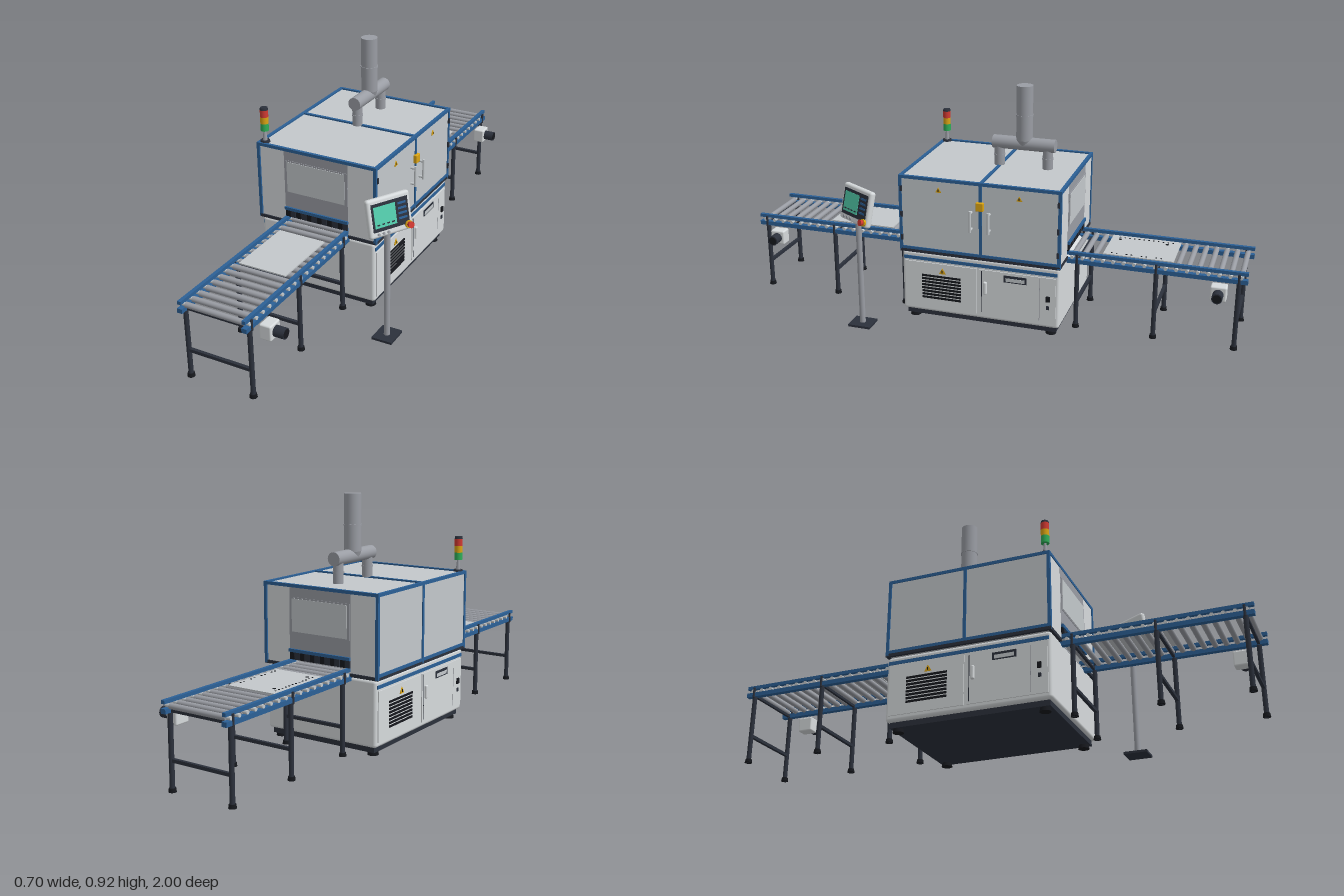
import * as THREE from 'three';
import { RoundedBoxGeometry } from 'three/addons/geometries/RoundedBoxGeometry.js';

const mat = (name, color, opts = {}) => {
  const m = new THREE.MeshStandardMaterial({ color, ...opts });
  m.name = name;
  return m;
};

export function createModel() {
  const white = mat('panelWhite', 0xd6dadc), sheet = mat('sheetMetal', 0xc3c8cb);
  const steel = mat('steelGrey', 0x9a9da4), blue = mat('frameBlue', 0x2c6096);
  const dark = mat('charcoal', 0x2c313c), black = mat('black', 0x16181d);
  const yellow = mat('safetyYellow', 0xdca514), red = mat('signalRed', 0xd23a32);
  const green = mat('signalGreen', 0x2fae58), teal = mat('screenTeal', 0x55cfae);

  const add = (parent, name, geo, m, x = 0, y = 0, z = 0) => {
    const mesh = new THREE.Mesh(geo, m);
    mesh.name = name;
    mesh.position.set(x, y, z);
    parent.add(mesh);
    return mesh;
  };
  // Box given by its min and max on each axis
  const box = (p, name, m, x0, x1, y0, y1, z0, z1) => add(p, name,
    new THREE.BoxGeometry(x1 - x0, y1 - y0, z1 - z0), m, (x0 + x1) / 2, (y0 + y1) / 2, (z0 + z1) / 2);
  const rbox = (p, name, m, x0, x1, y0, y1, z0, z1, r) => add(p, name,
    new RoundedBoxGeometry(x1 - x0, y1 - y0, z1 - z0, 3, r), m, (x0 + x1) / 2, (y0 + y1) / 2, (z0 + z1) / 2);
  // Cylinder along axis 'x', 'y' or 'z', centred at the given point
  const cyl = (p, name, m, rTop, rBottom, h, x, y, z, axis = 'y', seg = 24) => {
    const mesh = add(p, name, new THREE.CylinderGeometry(rTop, rBottom, h, seg), m, x, y, z);
    if (axis === 'x') mesh.rotation.z = -Math.PI / 2;
    if (axis === 'z') mesh.rotation.x = Math.PI / 2;
    return mesh;
  };
  const group = (parent, name) => {
    const g = new THREE.Group();
    g.name = name;
    parent.add(g);
    return g;
  };
  // Warning triangle plate facing +x
  const warning = (p, x, y, z, s) => {
    const t = cyl(p, 'warningTriangle', yellow, s, s, 0.004, x, y, z, 'x', 3);
    t.rotation.set(0, 0, -Math.PI / 2);
    t.rotation.order = 'XYZ';
    t.geometry.rotateY(Math.PI / 2 * 3);
    box(p, 'warningMark', black, x + 0.002, x + 0.003, y - s * 0.25, y + s * 0.45, z - s * 0.12, z + s * 0.12);
  };

  const root = new THREE.Group();
  root.name = 'conveyorMachine';
  const body = group(root, 'machine');
  body.position.x = -0.0875;

  // Lower base
  const base = group(body, 'base');
  rbox(base, 'baseCabinet', white, -0.242, 0.242, 0.035, 0.285, -0.318, 0.318, 0.012);
  box(base, 'plinth', dark, -0.227, 0.227, 0.014, 0.037, -0.305, 0.305);
  for (const x of [-0.207, 0.207]) for (const z of [-0.28, 0.28]) {
    cyl(base, 'baseFoot', black, 0.018, 0.021, 0.016, x, 0.008, z);
  }
  // Side service panels, the same on both sides by half a turn
  for (const a of [0, Math.PI]) {
    const s = group(base, 'servicePanels');
    s.rotation.y = a;
    box(s, 'blueStripe', blue, 0.24, 0.245, 0.253, 0.266, -0.31, 0.31);
    box(s, 'ventPanel', white, 0.24, 0.246, 0.055, 0.245, 0.01, 0.305);
    box(s, 'serviceDoor', white, 0.24, 0.246, 0.055, 0.245, -0.305, 0.0);
    box(s, 'doorSeam', dark, 0.24, 0.2465, 0.065, 0.24, -0.012, -0.009);
    box(s, 'doorSeam', steel, 0.24, 0.2465, 0.065, 0.24, -0.243, -0.241);
    for (let i = 0; i < 8; i++) {
      box(s, 'ventSlot', black, 0.24, 0.249, 0.095 + i * 0.0132, 0.103 + i * 0.0132, 0.075, 0.235);
    }
    warning(s, 0.247, 0.213, 0.15, 0.016);
    box(s, 'ratingPlate', dark, 0.24, 0.248, 0.206, 0.234, -0.19, -0.1);
    box(s, 'ratingPlateFace', sheet, 0.24, 0.249, 0.21, 0.224, -0.183, -0.107);
    rbox(s, 'doorHandle', white, 0.24, 0.255, 0.145, 0.197, -0.032, -0.018, 0.005);
    box(s, 'mainSwitch', black, 0.24, 0.252, 0.148, 0.17, -0.283, -0.268);
    box(s, 'switchPlate', dark, 0.24, 0.249, 0.115, 0.13, -0.281, -0.27);
  }

  // Upper housing with a tunnel for the conveyor
  const hood = group(body, 'housing');
  box(hood, 'hoodBody', sheet, -0.249, 0.249, 0.355, 0.592, -0.316, 0.316);
  for (const s of [-1, 1]) {
    const x0 = s < 0 ? -0.249 : 0.135;
    box(hood, 'hoodSide', sheet, x0, x0 + 0.114, 0.29, 0.356, -0.316, 0.316);
    // Frame tubes on this side
    for (const z of [-0.316, 0.316]) {
      box(hood, 'cornerPost', blue, s * 0.2465 - 0.006, s * 0.2465 + 0.006, 0.288, 0.597, z - 0.006, z + 0.006);
      const xa = s < 0 ? -0.25 : 0.135;
      box(hood, 'bottomRail', dark, xa, xa + 0.115, 0.286, 0.298, z - 0.006, z + 0.006);
    }
    for (const [y, m] of [[0.292, dark], [0.303, blue], [0.592, blue]]) {
      box(hood, 'sideRail', m, s * 0.2465 - 0.006, s * 0.2465 + 0.006, y - 0.006, y + 0.006, -0.322, 0.322);
    }
    box(hood, 'sideDivider', blue, s * 0.2465 - 0.006, s * 0.2465 + 0.006, 0.29, 0.597, -0.014, -0.002);
    box(hood, 'topRail', blue, -0.2525, 0.2525, 0.586, 0.598, s * 0.316 - 0.006, s * 0.316 + 0.006);
  }
  box(hood, 'roofDivider', blue, -0.2525, 0.2525, 0.586, 0.598, -0.014, -0.002);

  // Doors on the left side
  for (const s of [-1, 1]) {
    const z = -0.008 + s * 0.036;
    cyl(hood, 'doorHandle', sheet, 0.005, 0.005, 0.085, 0.268, 0.445, z, 'y', 12);
    for (const y of [0.412, 0.478]) cyl(hood, 'handleMount', sheet, 0.005, 0.005, 0.022, 0.258, y, z, 'x', 12);
    warning(hood, 0.2505, 0.549, s * 0.16, 0.013);
    for (const y of [0.345, 0.44, 0.545]) box(hood, 'hinge', dark, 0.248, 0.256, y - 0.011, y + 0.011, s * 0.312 - 0.004, s * 0.312 + 0.004);
  }
  rbox(hood, 'safetyLock', yellow, 0.248, 0.263, 0.488, 0.522, -0.022, 0.008, 0.003);

  // Entry and exit ends with their conveyors, mirrored by half a turn
  [['entry', 0], ['exit', Math.PI]].forEach(([name, a]) => {
    const e = group(body, name + 'End');
    e.rotation.y = a;
    for (const s of [-1, 1]) {
      const x0 = s < 0 ? -0.238 : 0.135;
      box(e, 'endPanel', white, x0, x0 + 0.103, 0.299, 0.586, 0.31, 0.319);
    }
    box(e, 'endSheet', steel, -0.135, 0.135, 0.355, 0.586, 0.31, 0.32);
    box(e, 'windowFrame', steel, -0.128, 0.133, 0.418, 0.55, 0.318, 0.322);
    box(e, 'window', sheet, -0.122, 0.122, 0.422, 0.545, 0.318, 0.324);
    box(e, 'curtainRail', blue, -0.135, 0.135, 0.345, 0.357, 0.314, 0.328);
    for (let i = 0; i < 12; i++) {
      const x = -0.123 + i * 0.0224;
      box(e, 'curtainStrip', i % 2 ? dark : black, x - 0.01, x + 0.01, 0.316, 0.346, 0.318, 0.323);
    }

    const c = group(e, name + 'Conveyor');
    for (const s of [-1, 1]) {
      const x = s * 0.1275;
      box(c, 'lowerRail', blue, x - 0.01, x + 0.01, 0.271, 0.288, 0.3, 1);
      box(c, 'guideRail', blue, x - 0.007, x + 0.007, 0.304, 0.317, 0.3, 1);
      for (const z of [0.358, 0.662, 0.968]) {
        cyl(c, 'leg', dark, 0.009, 0.009, 0.275, x, 0.1375, z, 'y', 16);
        cyl(c, 'legFoot', black, 0.012, 0.014, 0.014, x, 0.007, z, 'y', 16);
        cyl(c, 'guideBracket', dark, 0.005, 0.005, 0.042, x + s * 0.009, 0.288, z, 'y', 10);
      }
    }
    for (const z of [0.358, 0.662, 0.968]) {
      box(c, 'legCrossbar', dark, -0.1275, 0.1275, 0.103, 0.115, z - 0.006, z + 0.006);
      box(c, 'topCrossbar', dark, -0.1275, 0.1275, 0.272, 0.282, z - 0.005, z + 0.005);
    }
    for (let i = 0; i < 25; i++) {
      const z = 0.02 + i * 0.0398;
      cyl(c, 'roller', steel, 0.0105, 0.0105, 0.236, 0, 0.294, z, 'x', 14);
      cyl(c, 'rollerAxle', sheet, 0.007, 0.007, 0.274, 0, 0.295, z, 'x', 10);
    }
  });

  // Workpieces on the conveyors
  box(body, 'workSheet', sheet, -0.1, 0.092, 0.305, 0.31, 0.42, 0.69);
  const drilled = group(body, 'drilledSheet');
  box(drilled, 'sheet', sheet, -0.105, 0.095, 0.305, 0.31, -0.72, -0.45);
  for (let i = 0; i < 12; i++) for (const x of [-0.085, 0.08]) {
    if (x < 0 || i % 3) cyl(drilled, 'hole', black, 0.0035, 0.0035, 0.002, x, 0.3105, -0.69 + i * 0.019, 'y', 8);
  }
  for (const z of [-0.67, -0.485]) cyl(drilled, 'hole', black, 0.006, 0.006, 0.002, -0.065, 0.3105, z, 'y', 10);

  // Drive motors
  for (const z of [-0.9, 0.9]) {
    const m = group(body, 'driveMotor');
    rbox(m, 'gearbox', white, 0.137, 0.183, 0.211, 0.269, z - 0.03, z + 0.03, 0.006);
    cyl(m, 'motor', dark, 0.02, 0.02, 0.042, 0.202, 0.24, z, 'x');
    cyl(m, 'motorCap', black, 0.016, 0.016, 0.003, 0.2235, 0.24, z, 'x');
  }

  // Exhaust duct
  const duct = group(body, 'exhaustDuct');
  for (const z of [-0.005, -0.2]) {
    cyl(duct, 'riser', steel, 0.02, 0.02, 0.095, 0, 0.643, z);
    cyl(duct, 'riserCollar', steel, 0.022, 0.022, 0.006, 0, 0.637, z);
  }
  cyl(duct, 'crossPipe', steel, 0.026, 0.026, 0.25, 0, 0.688, -0.105, 'z');
  cyl(duct, 'stack', steel, 0.032, 0.032, 0.215, 0, 0.8125, -0.105);
  cyl(duct, 'stackTaper', steel, 0.032, 0.026, 0.02, 0, 0.696, -0.105);
  cyl(duct, 'stackCollar', steel, 0.034, 0.034, 0.006, 0, 0.803, -0.105);

  // Signal tower
  const tower = group(root, 'signalTower');
  [['towerBase', dark, 0.017, 0.019, 0.596, 0.604], ['towerStem', steel, 0.005, 0.009, 0.604, 0.642],
    ['greenLight', green, 0.0155, 0.0155, 0.642, 0.671], ['amberLight', yellow, 0.0155, 0.0155, 0.671, 0.697],
    ['redLight', red, 0.0155, 0.0155, 0.697, 0.725], ['towerCap', dark, 0.014, 0.016, 0.725, 0.734],
  ].forEach(([n, m, rt, rb, y0, y1]) => cyl(tower, n, m, rt, rb, y1 - y0, -0.316, (y0 + y1) / 2, 0.298));

  // Control stand
  const stand = group(root, 'controlStand');
  const foot = group(stand, 'standFoot');
  foot.position.set(0.273, 0, 0.445);
  box(foot, 'footPlate', dark, -0.04, 0.04, 0, 0.009, -0.045, 0.045);
  cyl(foot, 'pole', steel, 0.0115, 0.0115, 0.47, 0, 0.24, 0);
  const head = group(stand, 'controlPanel');
  head.position.set(0.276, 0.5, 0.443);
  head.rotation.set(-0.23, Math.PI / 3, 0, 'YXZ');
  rbox(head, 'panelCase', white, -0.0875, 0.0875, -0.07, 0.07, -0.0125, 0.0125, 0.01);
  box(head, 'bezel', dark, -0.074, 0.074, -0.047, 0.053, 0.011, 0.0145);
  box(head, 'screen', teal, -0.066, 0.022, -0.034, 0.042, 0.013, 0.0155);
  for (let i = 0; i < 4; i++) {
    box(head, 'screenLine', dark, -0.058 + i * 0.02, -0.047 + i * 0.02, -0.026, -0.021, 0.015, 0.016);
    box(head, 'keyRow', blue, 0.032, 0.066, 0.03 - i * 0.018, 0.038 - i * 0.018, 0.013, 0.0155);
  }
  for (const x of [-0.055, -0.035, -0.015]) cyl(head, 'panelButton', steel, 0.005, 0.005, 0.005, x, -0.057, 0.0145, 'z', 12);
  cyl(head, 'stopRing', yellow, 0.014, 0.014, 0.008, 0.068, -0.05, 0.016, 'z');
  cyl(head, 'stopButton', red, 0.012, 0.01, 0.014, 0.068, -0.05, 0.026, 'z');

  return root;
}
